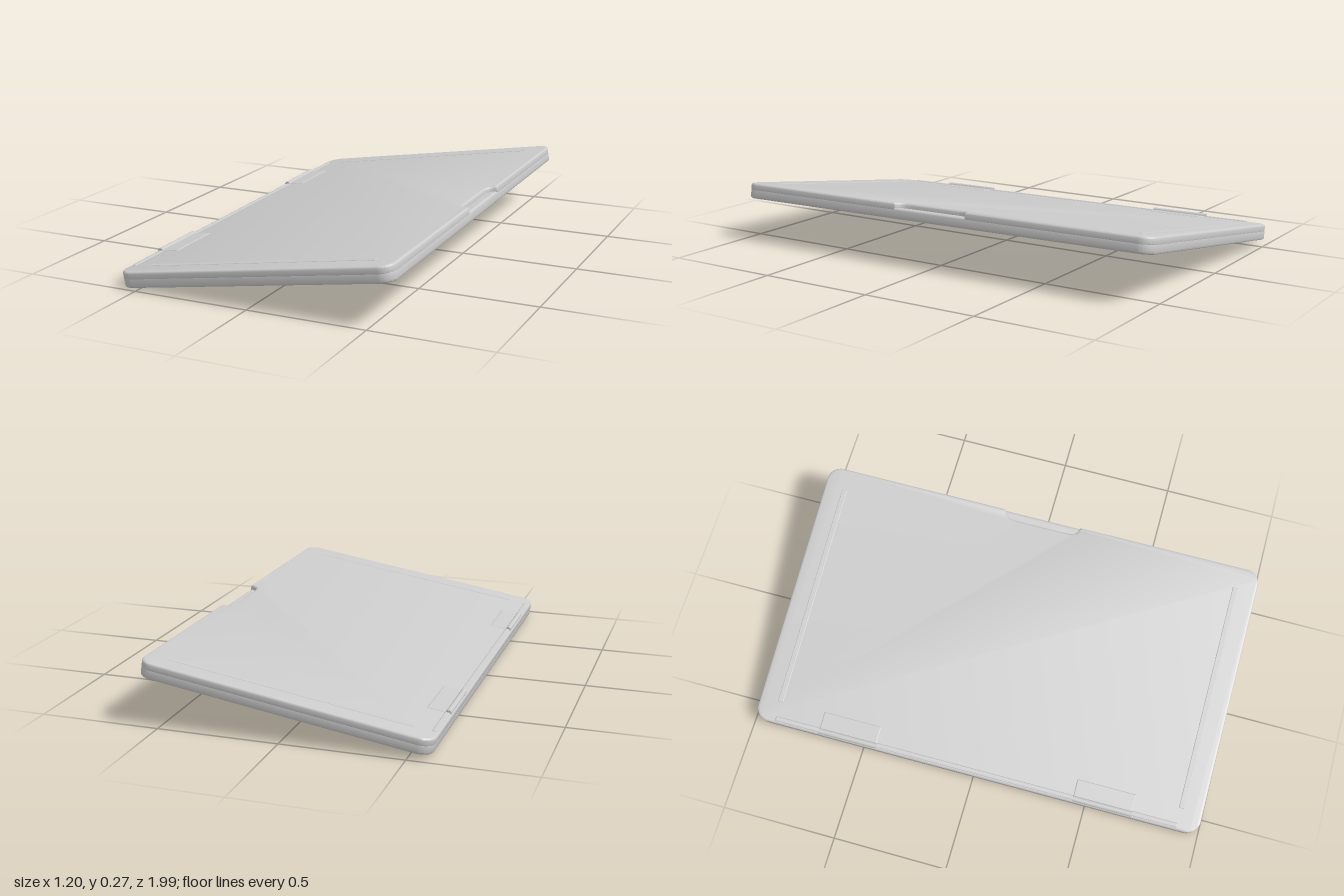
import * as THREE from 'three';
import { RoundedBoxGeometry } from 'three/addons/geometries/RoundedBoxGeometry.js';
import { toCreasedNormals } from 'three/addons/utils/BufferGeometryUtils.js';

const HALF_W = 0.595, HALF_L = 0.993, CORNER = 0.06, BEVEL = 0.009, TOP = 0.067;

// Rounded rectangle, optionally with a finger scoop in its +x edge
function outline(inset, scoop) {
  const w = HALF_W - inset, l = HALF_L - inset, r = CORNER - inset;
  const s = new THREE.Shape();
  s.moveTo(-w + r, -l);
  s.lineTo(w - r, -l);
  s.absarc(w - r, -l + r, r, -Math.PI / 2, 0);
  if (scoop) {
    const d = w - 0.04;
    s.lineTo(w, -0.18);
    s.bezierCurveTo(d + 0.01, -0.17, d, -0.15, d, -0.11);
    s.lineTo(d, 0.11);
    s.bezierCurveTo(d, 0.15, d + 0.01, 0.17, w, 0.18);
  }
  s.absarc(w - r, l - r, r, 0, Math.PI / 2);
  s.absarc(-w + r, l - r, r, Math.PI / 2, Math.PI);
  s.absarc(-w + r, -l + r, r, Math.PI, Math.PI * 1.5);
  return s;
}

// Flat bevelled slab lying between heights y0 and y1
function slab(y0, y1, scoop) {
  const g = new THREE.ExtrudeGeometry(outline(BEVEL, scoop), {
    depth: y1 - y0 - 2 * BEVEL, bevelSize: BEVEL, bevelThickness: BEVEL,
    bevelSegments: 3, curveSegments: 10,
  });
  g.rotateX(-Math.PI / 2);
  g.translate(0, y0 + BEVEL, 0);
  return toCreasedNormals(g, 0.6);
}

export function createModel() {
  const material = new THREE.MeshStandardMaterial({ color: 0xcccccc });
  const body = new THREE.Group();
  body.name = 'closedLaptop';
  const add = (name, geometry, x = 0, y = 0, z = 0) => {
    const mesh = new THREE.Mesh(geometry, material);
    mesh.name = name;
    mesh.position.set(x, y, z);
    body.add(mesh);
    return mesh;
  };

  // Lower case, and the lid with its finger scoop
  add('base', slab(0, 0.045, false));
  add('lid', slab(0.03, TOP, true));

  // Low rail along the hinge edge
  add('hingeRail', new RoundedBoxGeometry(0.022, 0.014, 1.8, 2, 0.006), -0.575, TOP - 0.003, 0);

  for (const side of [-1, 1]) {
    // Hinge cover plate and barrel
    add('hingePlate', new RoundedBoxGeometry(0.085, 0.012, 0.26, 2, 0.005), -0.535, TOP - 0.003, side * 0.57);
    add('hingeBarrel', new THREE.CylinderGeometry(0.012, 0.012, 0.26, 16), -0.578, TOP + 0.001, side * 0.57)
      .rotation.x = Math.PI / 2;
    // Long shallow ridge near each end of the lid
    add('lidRidge', new RoundedBoxGeometry(1.0, 0.008, 0.024, 2, 0.003), 0, TOP - 0.002, side * 0.9);
  }

  // Lean the whole body, then seat it on the ground and centre it
  body.rotation.set(0.008, 0.007, THREE.MathUtils.degToRad(9.2));
  const group = new THREE.Group();
  group.name = 'laptop';
  group.add(body);
  group.updateMatrixWorld(true);
  const box = new THREE.Box3().setFromObject(group, true);
  const c = box.getCenter(new THREE.Vector3());
  body.position.set(-c.x, -box.min.y, -c.z);
  return group;
}
